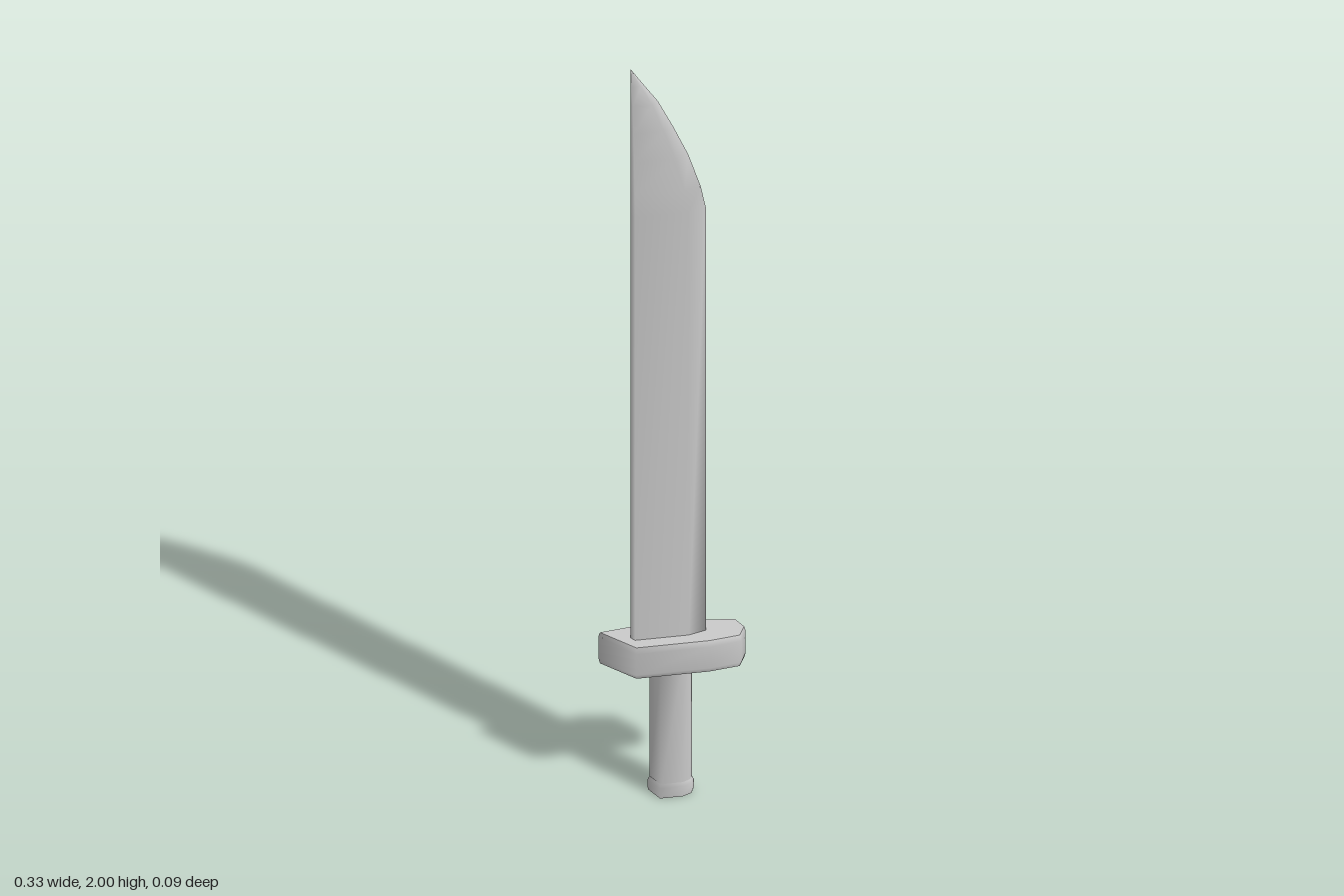
import * as THREE from 'three';

// Skin a stack of rings ({y, pts: [[x, z], ...]}, counter-clockwise from above) and cap both ends.
function loft(name, rings, material) {
  const pos = [], index = [];
  const n = rings[0].pts.length;
  const addRing = ({ y, pts }) => {
    const start = pos.length / 3;
    pts.forEach(([x, z]) => pos.push(x, y, z));
    return start;
  };
  rings.forEach((ring, i) => {
    const a = addRing(ring);
    if (i === 0) return;
    for (let j = 0; j < n; j++) {
      const k = (j + 1) % n;
      index.push(a - n + j, a - n + k, a + k, a - n + j, a + k, a + j);
    }
  });
  const bottom = addRing(rings[0]);
  const top = addRing(rings[rings.length - 1]);
  for (let j = 1; j < n - 1; j++) {
    index.push(bottom, bottom + j + 1, bottom + j, top, top + j, top + j + 1);
  }
  const geometry = new THREE.BufferGeometry();
  geometry.setAttribute('position', new THREE.Float32BufferAttribute(pos, 3));
  geometry.setIndex(index);
  geometry.computeVertexNormals();
  const mesh = new THREE.Mesh(geometry, material);
  mesh.name = name;
  return mesh;
}

// Mirror a quarter outline (from +x towards -z) into a full ring.
function mirrorRing(quarter, y, scaleX = 1, scaleZ = scaleX) {
  const half = [...quarter, ...quarter.slice(1).reverse().map(([x, z]) => [-x, z])];
  const full = [...half, ...half.slice(1, -1).reverse().map(([x, z]) => [x, -z])];
  return { y, pts: full.map(([x, z]) => [x * scaleX, z * scaleZ]) };
}

// Blade section: blunt spine on the -x side, ground edge on the +x side.
function bladeRing(y, edge) {
  const spine = -0.09;
  const width = edge - spine;
  const t = 0.012 * Math.min(1, width / 0.06);
  const shoulder = spine + 0.05 * width;
  const ridge = spine + 0.76 * width;
  return { y, pts: [[edge, 0], [ridge, -t], [shoulder, -t], [spine, 0], [shoulder, t], [ridge, t]] };
}

export function createModel() {
  const group = new THREE.Group();
  group.name = 'sword';
  const grey = new THREE.MeshStandardMaterial({ color: 0xcccccc });

  // Straight blade with a curved, clipped point
  const bladeProfile = [
    [0.42, 0.082], [1.6, 0.082], [1.66, 0.07], [1.75, 0.042],
    [1.83, 0.008], [1.905, -0.027], [1.955, -0.06], [2.0, -0.089],
  ];
  group.add(loft('blade', bladeProfile.map(([y, edge]) => bladeRing(y, edge)), grey));

  // Crossguard with softened top and bottom rims
  const guardOutline = [[0.173, 0], [0.157, -0.036], [0.085, -0.047]];
  const guardRims = [[0.349, 0.98, 0.88], [0.362, 1, 1], [0.42, 1, 1], [0.434, 0.98, 0.88]];
  group.add(loft('crossguard', guardRims.map(([y, sx, sz]) => mirrorRing(guardOutline, y, sx, sz)), grey));

  // Flattened grip
  const gripOutline = [[0.05, 0], [0.044, -0.014], [0.025, -0.023]];
  group.add(loft('grip', [0.02, 0.36].map((y) => mirrorRing(gripOutline, y)), grey));

  // Pommel cap, slightly wider than the grip
  const pommelRims = [[0, 1.06], [0.006, 1.09], [0.028, 1.09], [0.038, 1]];
  group.add(loft('pommel', pommelRims.map(([y, s]) => mirrorRing(gripOutline, y, s)), grey));

  return group;
}
